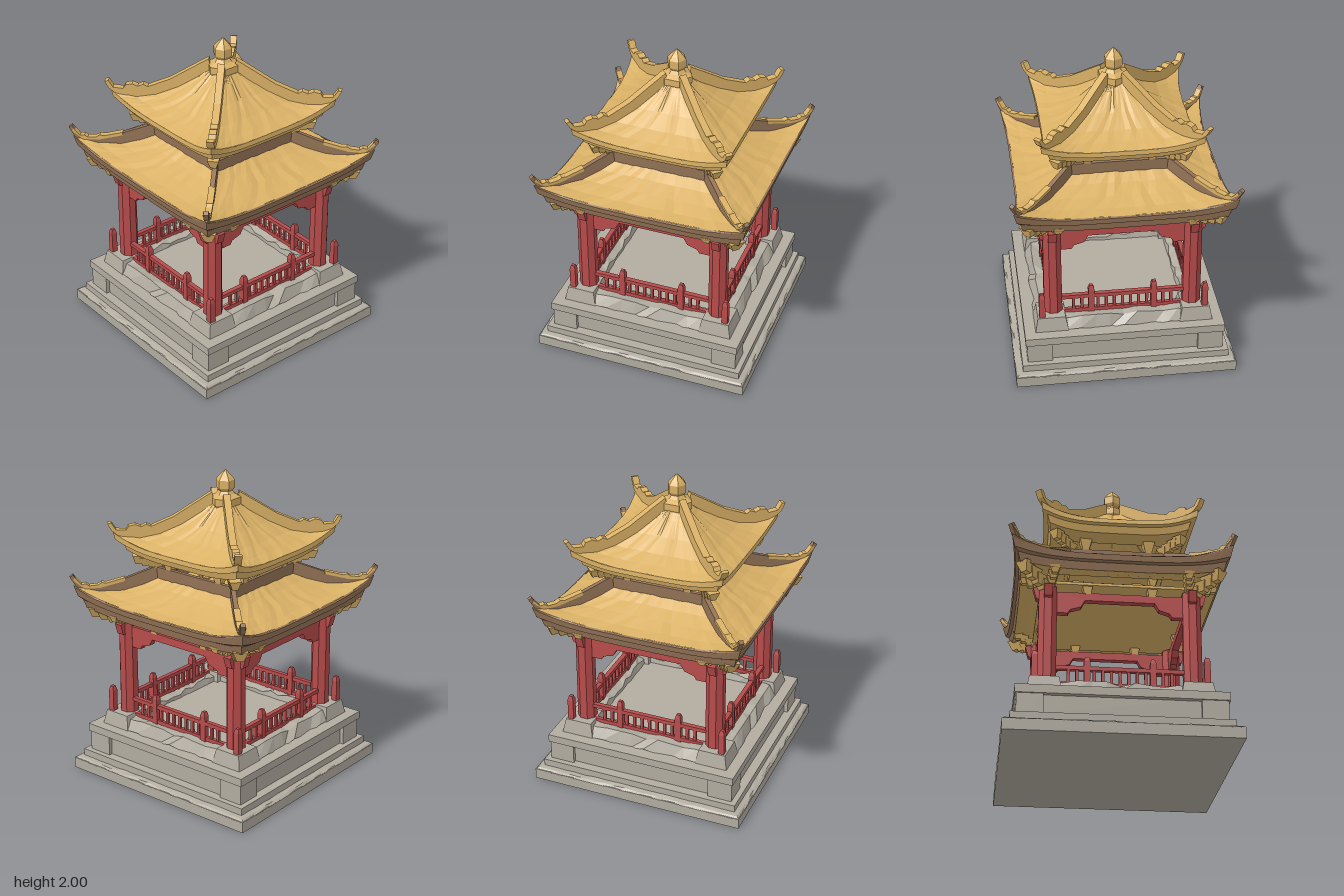
import * as THREE from 'three';

const mat = (name, color) => {
  const m = new THREE.MeshStandardMaterial({ color, flatShading: true, side: THREE.DoubleSide });
  m.name = name;
  return m;
};

export function createModel() {
  const gold = mat('gold tile', 0xdab166);
  const brown = mat('brown timber', 0x957457);
  const red = mat('red lacquer', 0xb84b4b);
  const stone = mat('grey stone', 0xb2aca0);

  const model = new THREE.Group();
  model.name = 'pavilion';
  const side = new THREE.Group();   // one quarter, repeated four times

  const add = (parent, name, geo, m, x = 0, y = 0, z = 0) => {
    const mesh = new THREE.Mesh(geo, m);
    mesh.name = name;
    mesh.position.set(x, y, z);
    parent.add(mesh);
    return mesh;
  };
  // Box given by its bottom and top heights
  const box = (parent, name, m, w, y0, y1, d, x = 0, z = 0) =>
    add(parent, name, new THREE.BoxGeometry(w, y1 - y0, d), m, x, (y0 + y1) / 2, z);

  // Quarter of a square skirt. Rows: [distance from axis, height, corner lift, corner flare]
  const sheet = (name, m, rows, jitter = 0, cols = 18) => {
    const g = new THREE.PlaneGeometry(2, 2, cols, rows.length - 1);
    const p = g.attributes.position;
    for (let i = 0; i < p.count; i++) {
      const u = p.getX(i);
      const [r, y, lift = 0, flare = 0] = rows[Math.floor(i / (cols + 1))];
      const k = Math.pow(Math.abs(u), 4);
      const d = r + flare * k;
      const n = jitter * (1 - k) * Math.sin(i * 12.9898 + Math.sin(i * 4.1) * 5);
      p.setXYZ(i, u * d, y + lift * k + n, d + n * 0.5);
    }
    g.computeVertexNormals();
    return add(side, name, g, m);
  };

  // Flat outline extruded about z = 0
  const slab = (points, depth) => {
    const g = new THREE.ExtrudeGeometry(
      new THREE.Shape(points.map(([x, y]) => new THREE.Vector2(x, y))),
      { depth, bevelEnabled: false });
    return g.translate(0, 0, -depth / 2);
  };
  // Hip ridge on the diagonal; points hold [x, y] as read at the corner
  const ridge = (name, m, points, width) =>
    add(side, name, slab(points.map(([r, y]) => [r * Math.SQRT2, y]), width).rotateY(-Math.PI / 4), m);

  // --- Stone terrace ---
  box(model, 'plinth', stone, 1.41, 0, 0.07, 1.41);
  box(model, 'plinthStep', stone, 1.32, 0.07, 0.13, 1.32);
  box(model, 'terraceCore', stone, 1.2, 0.13, 0.29, 1.2);
  box(model, 'terraceLip', stone, 1.27, 0.26, 0.312, 1.27);
  box(model, 'floor', stone, 0.84, 0.3, 0.34, 0.84);
  box(side, 'terracePier', stone, 0.16, 0.13, 0.26, 0.16, 0.545, 0.545);
  sheet('plinthSlope', stone, [[0.66, 0.085], [0.69, 0.08], [0.705, 0.065]], 0.004);
  sheet('platformRim', stone, [[0.39, 0.33], [0.4, 0.375], [0.46, 0.385], [0.52, 0.378], [0.56, 0.31]], 0.014, 12);
  const pad = add(side, 'columnPad', new THREE.CylinderGeometry(0.115, 0.14, 0.1, 4, 1).rotateY(Math.PI / 4),
    stone, 0.46, 0.355, 0.46);
  pad.scale.set(1.08, 1, 1.08);

  // --- Columns, beams and stepped corner braces ---
  add(side, 'column', new THREE.CylinderGeometry(0.06, 0.062, 0.63, 8).rotateY(Math.PI / 8), red, 0.4425, 0.715, 0.4425);
  add(side, 'beam', slab([[-0.39, 1], [-0.39, 0.86], [-0.32, 0.86], [-0.305, 0.885], [-0.24, 0.905],
    [-0.215, 0.95], [0.215, 0.95], [0.24, 0.905], [0.305, 0.885], [0.32, 0.86], [0.39, 0.86], [0.39, 1]], 0.045),
  red, 0, 0, 0.4425);
  for (const s of [-1, 1]) {
    const end = [[0.49, 0.94], [0.515, 0.95], [0.535, 1.02], [0.49, 1.03]].map(([x, y]) => [s * x, y]);
    add(side, 'beamEnd', slab(end, 0.05), red, 0, 0, 0.4425);
  }

  // --- Railing ---
  box(side, 'handrail', red, 0.8, 0.485, 0.51, 0.03, 0, 0.455);
  box(side, 'bottomRail', red, 0.8, 0.38, 0.405, 0.025, 0, 0.455);
  for (let i = -6; i <= 6; i++) {
    if (Math.abs(i) !== 4) box(side, 'baluster', red, 0.018, 0.37, 0.49, 0.018, i * 0.052, 0.455);
  }
  const post = (name, x, z) => {
    box(side, name, red, 0.038, 0.36, 0.545, 0.038, x, z);
    add(side, name + 'Cap', new THREE.CylinderGeometry(0.016, 0.027, 0.028, 4).rotateY(Math.PI / 4), red, x, 0.559, z);
  };
  post('railPost', -0.2, 0.455);
  post('railPost', 0.2, 0.455);
  post('cornerPost', 0.518, 0.518);

  // --- Bracket sets ---
  const bracket = (name, x, z, y0, y1, r0, r1, turn = 0) =>
    add(side, name, new THREE.CylinderGeometry(r1, r0, y1 - y0, 4).rotateY(Math.PI / 4 + turn), gold, x, (y0 + y1) / 2, z);
  for (const x of [-0.2, 0.2]) {
    bracket('lowerBracket', x, 0.445, 0.995, 1.045, 0.03, 0.045);
    bracket('upperBracket', x, 0.3, 1.37, 1.45, 0.025, 0.055);
  }
  for (let i = 0; i < 4; i++) {
    const t = i / 3;
    const r = 0.47 + t * 0.115;
    bracket('cornerBracket', r, r, 1.0 + t * 0.06, 1.055 + t * 0.07, 0.03, 0.065, Math.PI / 4);
    for (const [x, z] of [[0.43 - t * 0.02, r], [r, 0.43 - t * 0.02]])
      bracket('cornerBracketArm', x, z, 1.01 + t * 0.055, 1.05 + t * 0.06, 0.025, 0.048);
    const q = 0.3 + t * 0.09;
    bracket('upperCornerBracket', q, q, 1.37 + t * 0.035, 1.42 + t * 0.04, 0.025, 0.05, Math.PI / 4);
  }
  box(model, 'ceiling', gold, 0.98, 1.042, 1.06, 0.98);

  // --- Lower roof ---
  sheet('lowerRoof', gold, [[0.29, 1.32], [0.38, 1.268], [0.47, 1.228, 0.005], [0.56, 1.2, 0.035, 0.015],
    [0.635, 1.185, 0.085, 0.045]], 0.004);
  sheet('lowerFascia', brown, [[0.635, 1.185, 0.085, 0.045], [0.648, 1.18, 0.08, 0.03], [0.642, 1.143, 0.055, 0.02],
    [0.62, 1.135, 0.04, 0.02], [0.61, 1.085, 0.035, 0.015]]);
  sheet('lowerSoffit', gold, [[0.61, 1.085, 0.035, 0.015], [0.53, 1.1, 0.02], [0.44, 1.13]]);
  sheet('upperWall', brown, [[0.305, 1.385], [0.32, 1.38], [0.315, 1.3]], 0, 2);
  ridge('lowerHipRidge', brown, [[0.3, 1.29], [0.45, 1.225], [0.56, 1.215], [0.64, 1.24], [0.67, 1.27],
    [0.695, 1.33], [0.68, 1.345], [0.655, 1.29], [0.63, 1.265], [0.56, 1.27], [0.45, 1.31], [0.3, 1.39]], 0.03);
  ridge('lowerHipCap', gold, [[0.45, 1.295], [0.56, 1.255], [0.63, 1.25], [0.68, 1.31], [0.675, 1.33],
    [0.645, 1.28], [0.625, 1.285], [0.61, 1.27], [0.57, 1.275], [0.555, 1.29], [0.535, 1.285], [0.45, 1.317]], 0.04);

  // --- Upper roof ---
  sheet('upperRoof', gold, [[0.05, 1.81], [0.12, 1.74], [0.21, 1.66], [0.31, 1.595, 0.005], [0.39, 1.555, 0.03, 0.01],
    [0.462, 1.53, 0.08, 0.035]], 0.003);
  sheet('upperFascia', gold, [[0.462, 1.53, 0.08, 0.035], [0.465, 1.5, 0.065, 0.025], [0.435, 1.495, 0.05, 0.02],
    [0.42, 1.45, 0.045, 0.02], [0.36, 1.445, 0.02], [0.28, 1.45]]);
  ridge('upperHipRidge', gold, [[0.05, 1.79], [0.13, 1.715], [0.22, 1.635], [0.32, 1.575], [0.41, 1.57],
    [0.48, 1.6], [0.505, 1.63], [0.522, 1.675], [0.505, 1.68], [0.485, 1.635], [0.44, 1.63], [0.43, 1.655],
    [0.4, 1.665], [0.375, 1.65], [0.35, 1.665], [0.33, 1.65], [0.23, 1.71], [0.14, 1.79], [0.06, 1.86]], 0.045);

  // --- Finial ---
  const profile = [[0.085, 1.76], [0.1, 1.785], [0.1, 1.825], [0.06, 1.845], [0.045, 1.865], [0.06, 1.885],
    [0.06, 1.935], [0.045, 1.955], [0.015, 1.985], [0, 2]].map(([r, y]) => new THREE.Vector2(r, y));
  add(model, 'finial', new THREE.LatheGeometry(profile, 6), gold);

  // Repeat the quarter around the axis
  ['frontSide', 'leftSide', 'backSide', 'rightSide'].forEach((name, i) => {
    const s = side.clone();
    s.name = name;
    s.rotation.y = i * Math.PI / 2;
    model.add(s);
  });
  return model;
}
